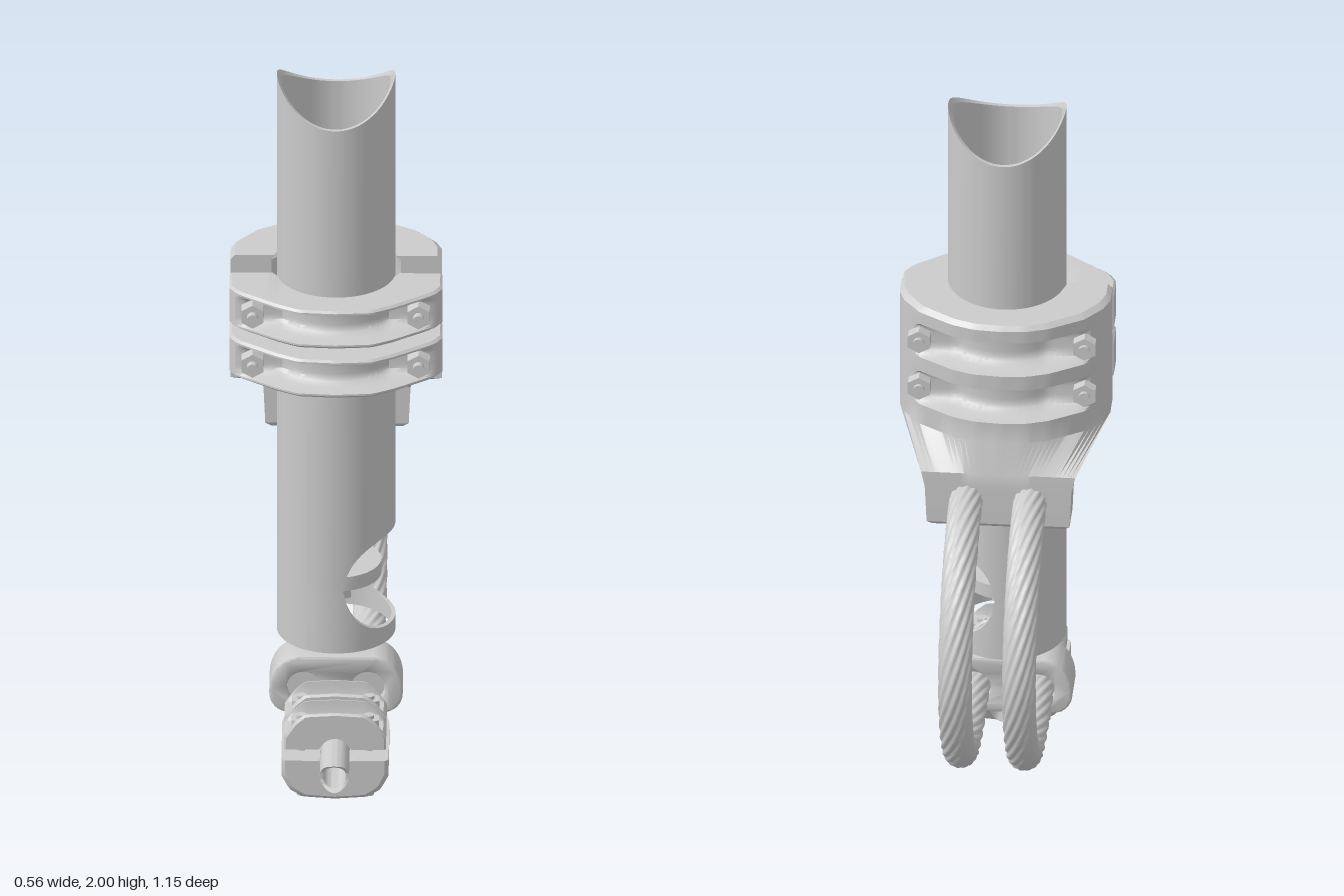
import * as THREE from 'three';
import { toCreasedNormals } from 'three/addons/utils/BufferGeometryUtils.js';

const grey = new THREE.MeshStandardMaterial({ color: 0xcccccc });
const AXIS_Z = 0.11; // depth of the main tube axis

function mesh(name, geometry, x = 0, y = 0, z = 0) {
  const m = new THREE.Mesh(geometry, grey);
  m.name = name;
  m.position.set(x, y, z);
  return m;
}

function quad(out, a, b, c, d) {
  for (const p of [a, b, c, a, c, d]) out.push(...p);
}

function finish(out, crease = 0.6) {
  const g = new THREE.BufferGeometry();
  g.setAttribute('position', new THREE.Float32BufferAttribute(out, 3));
  g.computeVertexNormals();
  return toCreasedNormals(g, crease);
}

// Hollow tube whose lower and upper rims follow rules of x
function tubeBand(rOut, rIn, low, high, n = 96) {
  const out = [], sections = [];
  for (let i = 0; i <= n; i++) {
    const t = (i / n) * Math.PI * 2, c = Math.cos(t), s = Math.sin(t);
    const p = (r, f) => [r * c, f(r * c), r * s];
    sections.push([p(rOut, low), p(rOut, high), p(rIn, high), p(rIn, low)]);
  }
  for (let i = 0; i < n; i++) {
    const a = sections[i], b = sections[i + 1];
    for (let k = 0; k < 4; k++) {
      const m = (k + 1) % 4;
      quad(out, b[k], a[k], a[m], b[m]);
    }
  }
  return finish(out);
}

// Saddle-shaped rim, low in the middle and high at both sides
const saddle = (top, r) => (x) => {
  const R = r * 1.13;
  return top - Math.sqrt(Math.max(0, R * R - x * x)) + Math.sqrt(R * R - r * r);
};

function interpolate(table, t) {
  for (let i = 1; i < table.length; i++) {
    const [t0, v0] = table[i - 1], [t1, v1] = table[i];
    if (t <= t1) return v0 + ((v1 - v0) * (t - t0)) / (t1 - t0);
  }
  return table[table.length - 1][1];
}

// Stack of C-shaped sections: y runs along the clamped tube, z away from it
function loft(levels, r, n = 36) {
  const out = [];
  const rings = levels.map(({ a, W, gap, outer }) => {
    const front = [], back = [];
    for (let i = 0; i <= n; i++) {
      const t = (i / n) * 2 - 1, x = t * W;
      const inner = Math.max(gap, Math.sqrt(Math.max(0, r * r - x * x)));
      front.push([x, a, Math.max(outer(Math.abs(t), x), inner + 0.002)]);
      back.push([x, a, inner]);
    }
    return [...front, ...back.reverse()];
  });
  const m = 2 * (n + 1);
  for (let l = 0; l + 1 < rings.length; l++) {
    const p = rings[l], q = rings[l + 1];
    for (let k = 0; k < m; k++) quad(out, p[k], p[(k + 1) % m], q[(k + 1) % m], q[k]);
  }
  const bottom = rings[0], top = rings[rings.length - 1];
  for (let i = 0; i < n; i++) {
    const j = m - 1 - i;
    quad(out, top[i], top[i + 1], top[j - 1], top[j]);
    quad(out, bottom[j], bottom[j - 1], bottom[i + 1], bottom[i]);
  }
  return finish(out);
}

// Clamp half with scooped slots between fins, and optional tail sections below
function clampHalf({ a0, a1, W, shape, r, gap, floor, web, slots, half, bevel, tail }) {
  const full = (t) => interpolate(shape, t);
  const level = (a, inset = 0) => ({ a, W: W - inset, gap, outer: (t) => full(t) - inset });
  const levels = tail ? [...tail, level(a0)] : [level(a0, bevel), level(a0 + bevel)];
  for (const c of slots) {
    for (let i = 0; i <= 12; i++) {
      const s = -Math.cos((i / 12) * Math.PI), k = Math.pow(Math.abs(s), 6);
      levels.push({
        a: c + s * half, W, gap,
        outer: (t, x) => {
          const base = Math.max(floor, Math.sqrt(Math.max(0, web * web - x * x)));
          const deep = Math.min(full(t), base);
          return deep + (full(t) - deep) * k;
        },
      });
    }
  }
  levels.push(level(a1 - bevel), level(a1, bevel));
  return loft(levels, r);
}

// Threaded bolt along y with hexagon nuts given as [centre, radius, height]
function bolt(name, lo, hi, r, nuts) {
  const g = new THREE.Group();
  g.name = name;
  g.add(mesh('boltShaft', new THREE.CylinderGeometry(r, r, hi - lo, 16), 0, (lo + hi) / 2));
  for (const [y, nr, h] of nuts)
    g.add(mesh('hexNut', toCreasedNormals(new THREE.CylinderGeometry(nr, nr, h, 6), 0.5), 0, y));
  return g;
}

// Stranded cable: a tube with twisted lobes
function cable(x) {
  const path = new THREE.CatmullRomCurve3([
    [0.945, -0.09], [0.94, -0.2], [0.9, -0.32], [0.8, -0.44], [0.68, -0.51], [0.56, -0.53],
    [0.43, -0.495], [0.31, -0.41], [0.24, -0.3], [0.217, -0.18], [0.215, 0], [0.215, 0.15],
  ].map(([y, z]) => new THREE.Vector3(x, y, z)));
  const N = 120, R = 48, g = new THREE.TubeGeometry(path, N, 0.042, R);
  const pos = g.attributes.position, v = new THREE.Vector3();
  for (let i = 0; i <= N; i++) {
    const c = path.getPointAt(i / N);
    for (let j = 0; j <= R; j++) {
      const k = i * (R + 1) + j, t = (j / R) * Math.PI * 2 + (i / N) * Math.PI * 4;
      v.fromBufferAttribute(pos, k).sub(c).multiplyScalar(0.94 + 0.14 * Math.abs(Math.sin(t * 6)));
      pos.setXYZ(k, c.x + v.x, c.y + v.y, c.z + v.z);
    }
  }
  g.computeVertexNormals();
  return mesh('strandedCable', g);
}

export function createModel() {
  const model = new THREE.Group();
  model.name = 'tubeClampAssembly';

  // Main tube with a scooped window on its left side
  const cut = (sign) => (x) =>
    0.545 + sign * Math.sqrt(Math.max(0, 0.135 ** 2 - (x - 0.157) ** 2));
  const flat = (y) => () => y;
  model.add(mesh('mainTubeLower', tubeBand(0.157, 0.146, flat(0.365), cut(-1)), 0, 0, AXIS_Z));
  model.add(mesh('mainTubeUpper', tubeBand(0.157, 0.146, cut(1), saddle(2, 0.157)), 0, 0, AXIS_Z));

  // Disc and centre bolt inside the tube
  model.add(mesh('tubeDisc', toCreasedNormals(new THREE.CylinderGeometry(0.12, 0.12, 0.04, 32), 0.5), 0, 0.55, AXIS_Z));
  const centre = bolt('centreBolt', 0.28, 0.628, 0.018,
    [[0.6, 0.045, 0.05], [0.49, 0.045, 0.05], [0.335, 0.04, 0.05]]);
  centre.position.z = AXIS_Z;
  model.add(centre);

  // Upper clamp, rear half with a tongue holding the cables
  const tongue = (a, W, gap, d) => ({ a, W, gap, outer: () => d });
  const rear = mesh('upperClampRear', clampHalf({
    a0: 1.1, a1: 1.46, W: 0.28, r: 0.157, gap: 0.005, floor: 0.15, web: 0.19,
    shape: [[0, 0.25], [0.25, 0.245], [0.46, 0.225], [0.78, 0.17], [0.95, 0.11], [1, 0.07]],
    slots: [1.213, 1.36], half: 0.052, bevel: 0.012,
    tail: [
      tongue(0.86, 0.175, 0.205, 0.28), tongue(0.872, 0.19, 0.196, 0.29),
      tongue(0.98, 0.195, 0.196, 0.29), tongue(1.025, 0.205, 0.14, 0.288),
    ],
  }), 0, 0, AXIS_Z);
  rear.rotation.y = Math.PI;
  model.add(rear);

  // Upper clamp, two front straps with their bolts
  for (const y of [1.215, 1.36]) {
    model.add(mesh('upperClampStrap', clampHalf({
      a0: -0.055, a1: 0.055, W: 0.282, r: 0.157, gap: 0.008, floor: 0.125, web: 0.185,
      shape: [[0, 0.245], [0.35, 0.237], [0.55, 0.205], [0.93, 0.125], [1, 0.09]],
      slots: [0], half: 0.044, bevel: 0.006,
    }), 0, y, AXIS_Z));
    for (const x of [-0.22, 0.22]) {
      const b = bolt('upperClampBolt', -0.08, 0.295, 0.015, [[0.255, 0.034, 0.04], [-0.055, 0.034, 0.03]]);
      b.position.set(x, y, 0);
      b.rotation.x = Math.PI / 2;
      model.add(b);
    }
  }

  // Cables
  for (const x of [-0.085, 0.085]) model.add(cable(x));

  // Cable block with two through holes
  const s = new THREE.Shape();
  s.moveTo(-0.1, 0.145).lineTo(0.1, 0.145);
  s.bezierCurveTo(0.15, 0.145, 0.17, 0.165, 0.17, 0.2);
  s.bezierCurveTo(0.17, 0.26, 0.14, 0.3, 0.09, 0.3);
  s.lineTo(-0.09, 0.3);
  s.bezierCurveTo(-0.14, 0.3, -0.17, 0.26, -0.17, 0.2);
  s.bezierCurveTo(-0.17, 0.165, -0.15, 0.145, -0.1, 0.145);
  for (const x of [-0.085, 0.085])
    s.holes.push(new THREE.Path().absarc(x, 0.215, 0.052, 0, Math.PI * 2, true));
  const block = new THREE.ExtrudeGeometry(s, {
    depth: 0.1, bevelEnabled: true, bevelSize: 0.007, bevelThickness: 0.01, bevelSegments: 2, curveSegments: 16,
  });
  model.add(mesh('cableBlock', toCreasedNormals(block, 0.6), 0, 0, 0.06));
  for (const x of [-0.085, 0.085])
    model.add(mesh('cableEnd', new THREE.CircleGeometry(0.044, 24), x, 0.215, 0.15));

  // Lower clamp plate, running back under the cable block
  const plate = mesh('lowerClampPlate', clampHalf({
    a0: 0.205, a1: 0.44, W: 0.142, r: 0.04, gap: 0.012, floor: 0.075, web: 0.06,
    shape: [[0, 0.128], [0.6, 0.122], [0.85, 0.1], [1, 0.06]],
    slots: [0.255, 0.367], half: 0.043, bevel: 0.01,
    tail: [tongue(0.06, 0.11, -0.03, 0), tongue(0.15, 0.13, -0.01, 0.045), tongue(0.185, 0.138, 0.01, 0.08)],
  }), 0, 0.145, 0);
  plate.rotation.x = Math.PI / 2;
  model.add(plate);

  // Lower straps with their bolts
  for (const z of [0.25, 0.367]) {
    const strap = mesh('lowerClampStrap', clampHalf({
      a0: -0.047, a1: 0.047, W: 0.135, r: 0.04, gap: 0.008, floor: 0.055, web: 0.055,
      shape: [[0, 0.113], [0.6, 0.108], [0.8, 0.085], [0.95, 0.055], [1, 0.045]],
      slots: [0], half: 0.039, bevel: 0.005,
    }), 0, 0.145, z);
    strap.rotation.x = -Math.PI / 2;
    model.add(strap);
    for (const x of [-0.09, 0.09]) {
      const b = bolt('lowerClampBolt', 0, 0.235, 0.013, [[0.212, 0.03, 0.026], [0.058, 0.03, 0.025]]);
      b.position.set(x, 0, z);
      model.add(b);
    }
  }

  // Small tube held by the lower clamp
  const small = mesh('smallTube', tubeBand(0.039, 0.031, flat(0.17), saddle(0.575, 0.039), 48), 0, 0.143, 0);
  small.rotation.set(Math.PI / 2, 0, Math.PI / 2, 'ZXY');
  model.add(small);
  return model;
}
